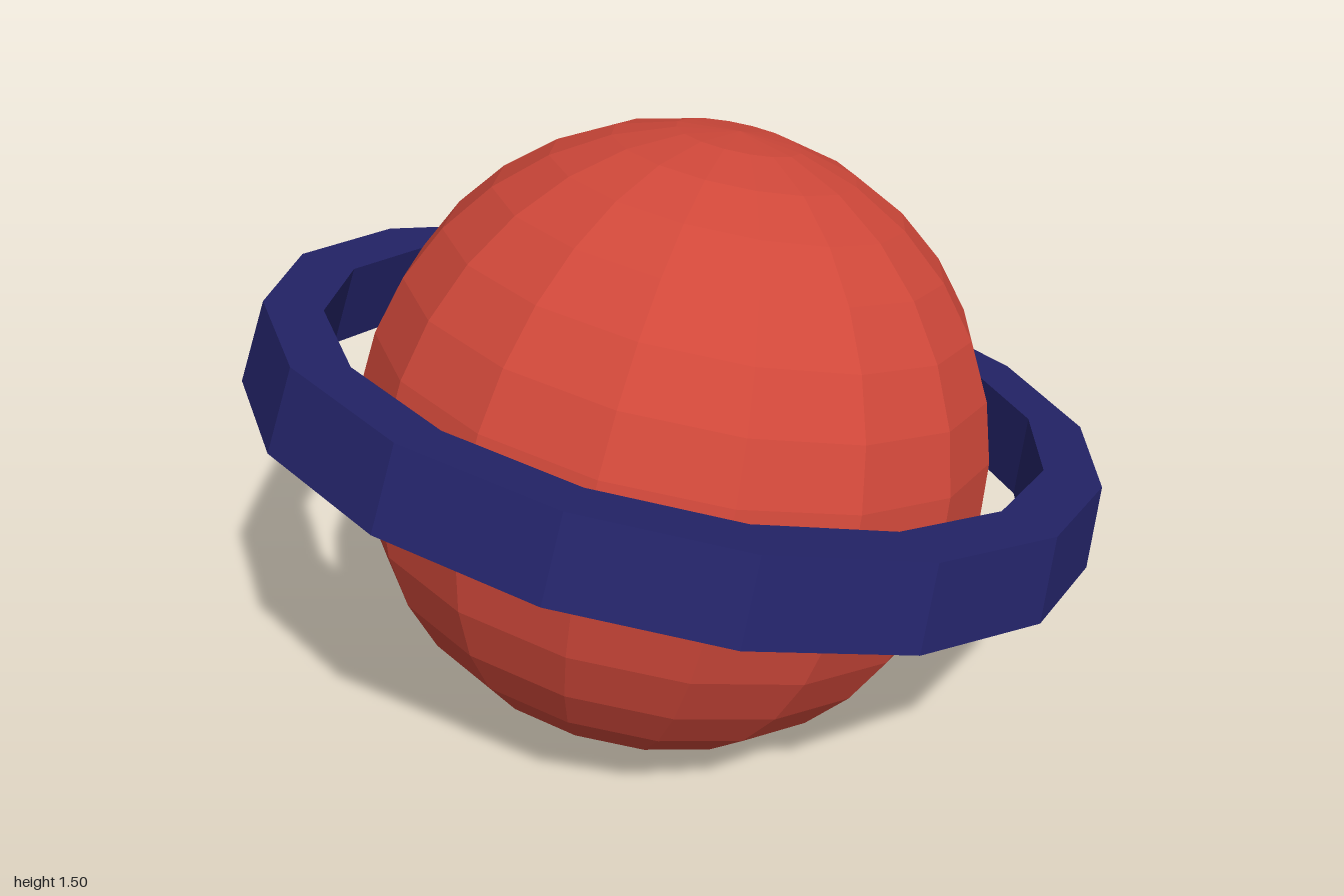
import * as THREE from 'three';

const SIDES = 16;
const rad = THREE.MathUtils.degToRad;
// Turn so a flat facet (not a corner) faces each axis
const FACET_TURN = -rad(12.25);

function part(name, geometry, color, position, tiltX, tiltZ) {
  geometry.rotateY(FACET_TURN);
  const material = new THREE.MeshStandardMaterial({ color, flatShading: true });
  const mesh = new THREE.Mesh(geometry, material);
  mesh.name = name;
  mesh.position.set(...position);
  mesh.rotation.set(rad(tiltX), 0, rad(tiltZ));
  return mesh;
}

export function createModel() {
  const model = new THREE.Group();
  model.name = 'ringedPlanet';

  // Faceted globe, its pole leaning to +x
  const globe = new THREE.SphereGeometry(0.752, SIDES, 16);
  model.add(part('planet', globe, 0xd0483a, [-0.012, 0.752, 0], 0, -15.5));

  // Slightly tapered band: outer wall, top, inner wall, underside
  const profile = [
    [1.018, -0.1],
    [0.997, 0.1],
    [0.86, 0.1],
    [0.879, -0.1],
    [1.018, -0.1],
  ].map(([r, y]) => new THREE.Vector2(r, y));
  const band = new THREE.LatheGeometry(profile, SIDES);
  model.add(part('ring', band, 0x24246a, [0.0075, 0.824, 0], 0.4, -15.9));

  return model;
}
